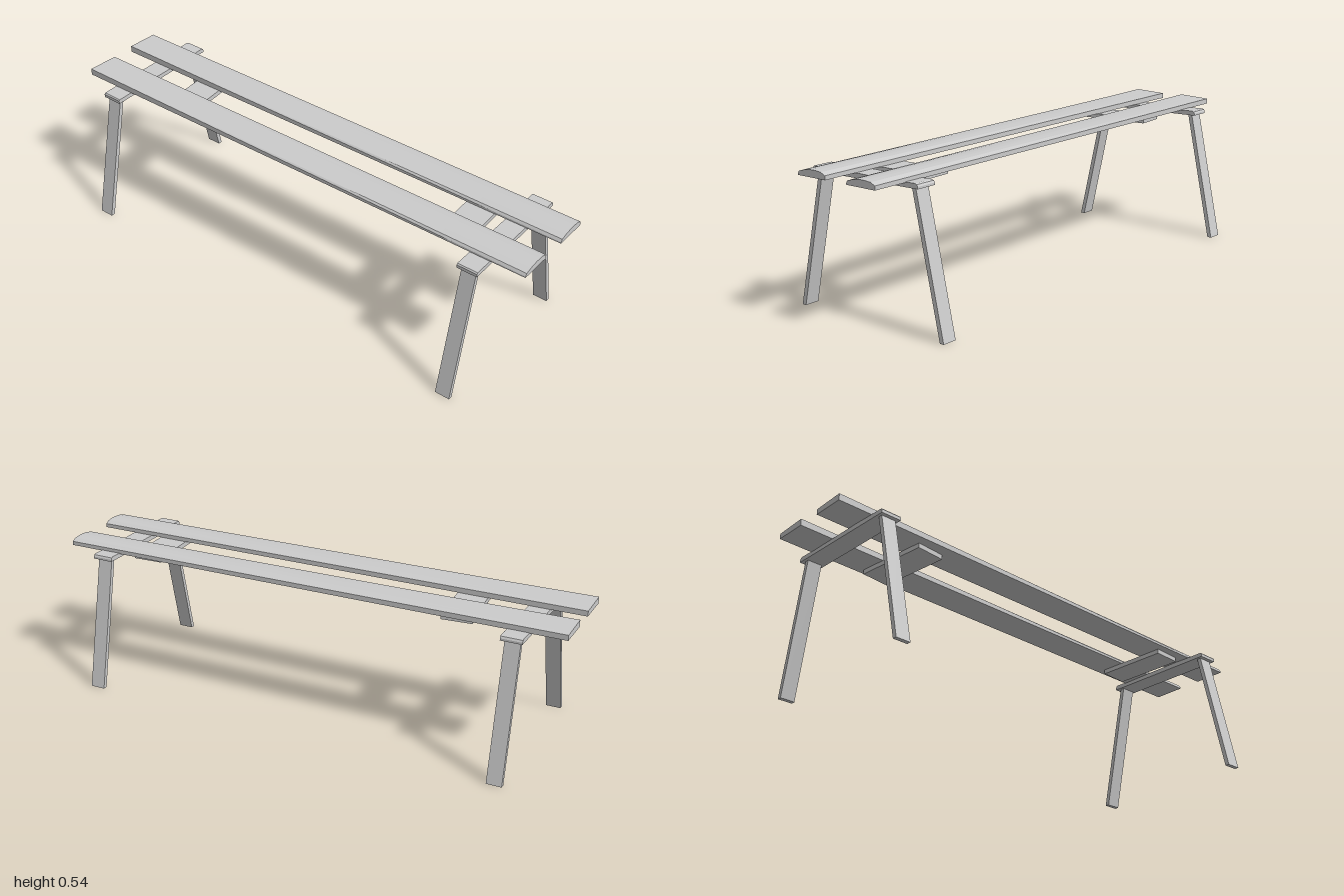
import * as THREE from 'three';

const material = new THREE.MeshStandardMaterial({ color: 0xcccccc, flatShading: true });

// Extrudes a (z, y) profile along x, centred on x = 0
function prism(profile, length, steps = 1) {
  const shape = new THREE.Shape(profile.map(([z, y]) => new THREE.Vector2(z, y)));
  const geometry = new THREE.ExtrudeGeometry(shape, { depth: length, steps, bevelEnabled: false });
  return geometry.translate(0, 0, -length / 2).rotateY(-Math.PI / 2);
}

function part(group, name, geometry, x = 0) {
  const mesh = new THREE.Mesh(geometry, material);
  mesh.name = name;
  mesh.position.x = x;
  group.add(mesh);
}

// Seat plank: rounded at the left end, blending to a flat top at the right end, slightly askew
function plankGeometry(centreZ, skew) {
  const base = 0.518;
  const geometry = prism([
    [-0.064, base], [0.064, base], [0.064, 0.523], [0.058, 0.533], [0.032, 0.54],
    [0, 0.544], [-0.022, 0.544], [-0.045, 0.542], [-0.064, 0.533],
  ], 2, 6);
  const p = geometry.attributes.position;
  for (let i = 0; i < p.count; i++) {
    const x = p.getX(i), y = p.getY(i), z = p.getZ(i);
    const flat = (1 - x) / 2;
    if (y > base + 0.001) p.setY(i, THREE.MathUtils.lerp(y, 0.541 + z * 0.04, flat));
    p.setZ(i, z + centreZ - skew * x);
  }
  geometry.computeVertexNormals();
  return geometry;
}

export function createModel() {
  const group = new THREE.Group();
  group.name = 'bench';

  // Two seat planks
  part(group, 'frontPlank', plankGeometry(0.107, 0.007), 0);
  part(group, 'backPlank', plankGeometry(-0.117, 0.0085), 0);

  for (const [side, x] of [['right', -0.826], ['left', 0.823]]) {
    // Crossbar under the planks with eased upper ends
    part(group, side + 'Crossbar', prism([
      [-0.243, 0.504], [0.24, 0.498], [0.24, 0.51], [0.236, 0.515], [0.15, 0.516],
      [0.1, 0.518], [-0.15, 0.519], [-0.2, 0.521], [-0.232, 0.522], [-0.239, 0.519], [-0.243, 0.512],
    ], 0.08), x);

    // Splayed legs
    for (const [end, s] of [['Front', 1], ['Back', -1]]) {
      const top = s > 0 ? 0.5 : 0.506;
      const leg = [[0.317, 0], [0.334, 0], [0.224, top], [0.207, top]].map(([z, y]) => [z * s, y]);
      part(group, side + end + 'Leg', prism(leg, 0.058), x);
    }
  }

  // Slightly turned cleats joining the planks from below
  for (const [name, x, turn, z] of [['rightCleat', -0.582, 0.09, -0.01], ['leftCleat', 0.682, 0.05, -0.01]]) {
    const geometry = new THREE.BoxGeometry(0.115, 0.018, 0.29);
    geometry.rotateY(turn).translate(0, 0.508, z);
    part(group, name, geometry, x);
  }
  return group;
}
